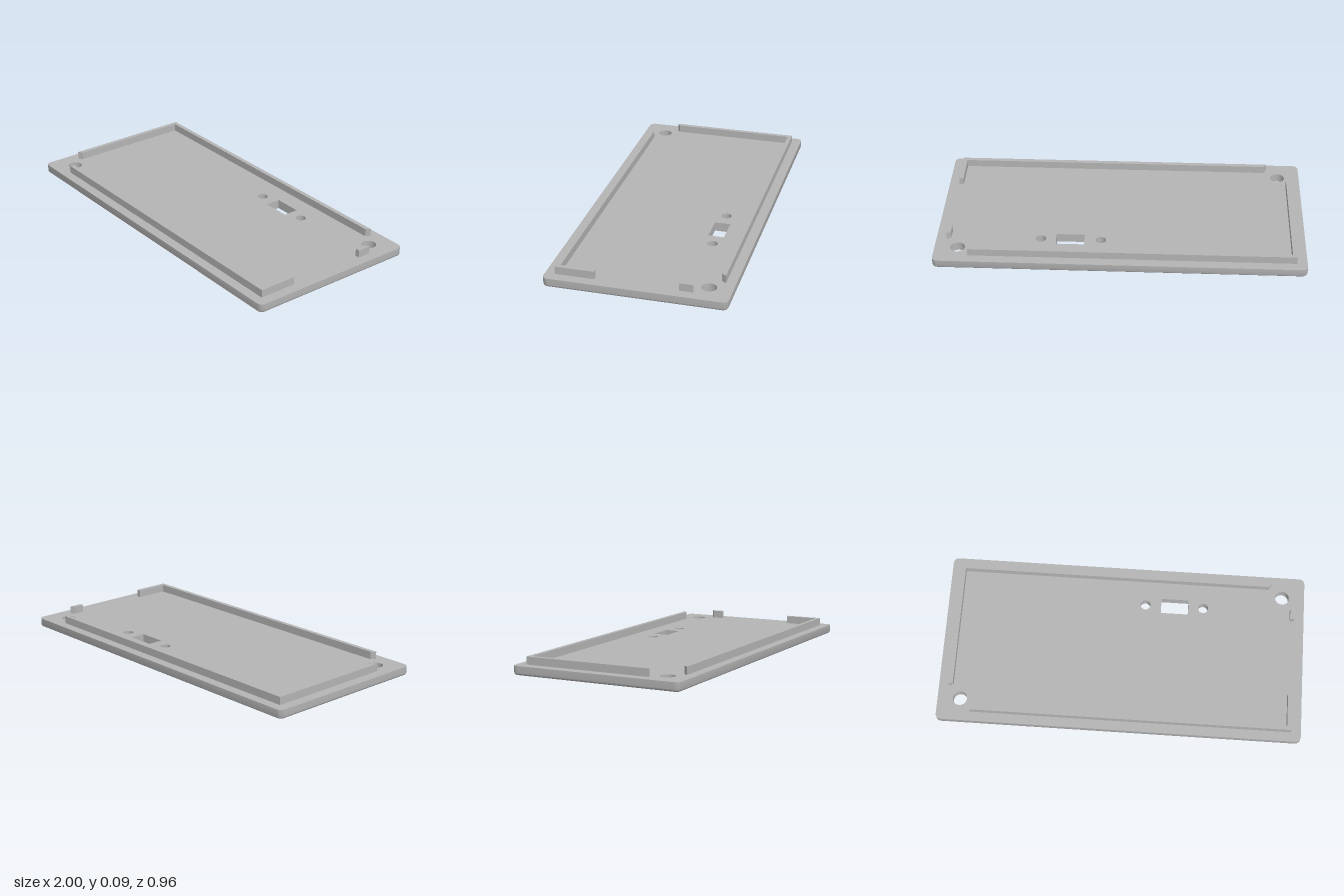
import * as THREE from 'three';
import { toCreasedNormals } from 'three/addons/utils/BufferGeometryUtils.js';

const HALF_X = 1, HALF_Z = 0.48, CORNER = 0.03;
const PLATE_TOP = 0.05, WALL_TOP = 0.092, FILLET = 0.015, FILLET_STEPS = 5;

// Extrude a plan drawn in (x, -z) upwards along y
function extrudeUp(shape, depth, steps = 1) {
  const geo = new THREE.ExtrudeGeometry(shape, { depth, steps, bevelEnabled: false, curveSegments: 12 });
  return geo.rotateX(-Math.PI / 2);
}

function roundedRect(hx, hz, r) {
  const s = new THREE.Shape();
  s.absarc(hx - r, hz - r, r, 0, Math.PI / 2);
  s.absarc(r - hx, hz - r, r, Math.PI / 2, Math.PI);
  s.absarc(r - hx, r - hz, r, Math.PI, Math.PI * 1.5);
  s.absarc(hx - r, r - hz, r, Math.PI * 1.5, Math.PI * 2);
  s.closePath();
  return s;
}

function polygon(points, Type = THREE.Shape) {
  return new Type(points.map(([x, z]) => new THREE.Vector2(x, -z)));
}

function plateGeometry() {
  const shape = roundedRect(HALF_X, HALF_Z, CORNER);
  // Two corner holes and two small holes beside the slot: x, z, radius
  for (const [x, z, r] of [[0.875, -0.358, 0.039], [-0.877, 0.355, 0.039], [0.108, -0.266, 0.028], [0.433, -0.266, 0.028]]) {
    const hole = new THREE.Path();
    hole.absarc(x, -z, r, 0, Math.PI * 2, true);
    shape.holes.push(hole);
  }
  shape.holes.push(polygon([[0.197, -0.308], [0.35, -0.308], [0.35, -0.223], [0.197, -0.223]], THREE.Path));

  // Round the lower outer edge: respace the layers and draw the outline inwards
  const steps = FILLET_STEPS + 1;
  const geo = extrudeUp(shape, PLATE_TOP, steps);
  const pos = geo.attributes.position;
  const cx = HALF_X - CORNER, cz = HALF_Z - CORNER;
  for (let i = 0; i < pos.count; i++) {
    const layer = Math.round(pos.getY(i) / PLATE_TOP * steps);
    if (layer === steps) continue;
    const a = layer / FILLET_STEPS * Math.PI / 2;
    pos.setY(i, FILLET * (1 - Math.cos(a)));
    const inset = FILLET * (1 - Math.sin(a));
    const x = pos.getX(i), z = pos.getZ(i);
    const kx = THREE.MathUtils.clamp(x, -cx, cx), kz = THREE.MathUtils.clamp(z, -cz, cz);
    if (Math.hypot(x - kx, z - kz) < CORNER * 0.9) continue;
    const k = 1 - inset / CORNER;
    pos.setX(i, kx + (x - kx) * k);
    pos.setZ(i, kz + (z - kz) * k);
  }
  return toCreasedNormals(geo, 0.6);
}

export function createModel() {
  const group = new THREE.Group();
  group.name = 'coverPlate';
  const material = new THREE.MeshStandardMaterial({ color: 0xb4b4b4 });
  material.name = 'lightGrey';

  const add = (name, geo, y = 0) => {
    const mesh = new THREE.Mesh(geo, material);
    mesh.name = name;
    mesh.position.y = y;
    group.add(mesh);
  };

  add('plate', plateGeometry());

  // Locating lip: outer and inner limits, with slanted ends by the corner holes
  const ox = 0.944, ix = 0.92, oz = 0.428, iz = 0.404;
  const lips = {
    backLeftLip: [[-ox, 0.29], [-ox, -oz], [0.813, -oz], [0.797, -iz], [-ix, -iz], [-ix, 0.274]],
    frontRightLip: [[-0.815, oz], [ox, oz], [ox, 0.22], [ix, 0.22], [ix, iz], [-0.797, iz]],
    shortLip: [[ox, -0.294], [ox, -0.22], [ix, -0.22], [ix, -0.276]],
  };
  for (const [name, points] of Object.entries(lips)) {
    add(name, extrudeUp(polygon(points), WALL_TOP - PLATE_TOP), PLATE_TOP);
  }
  return group;
}
